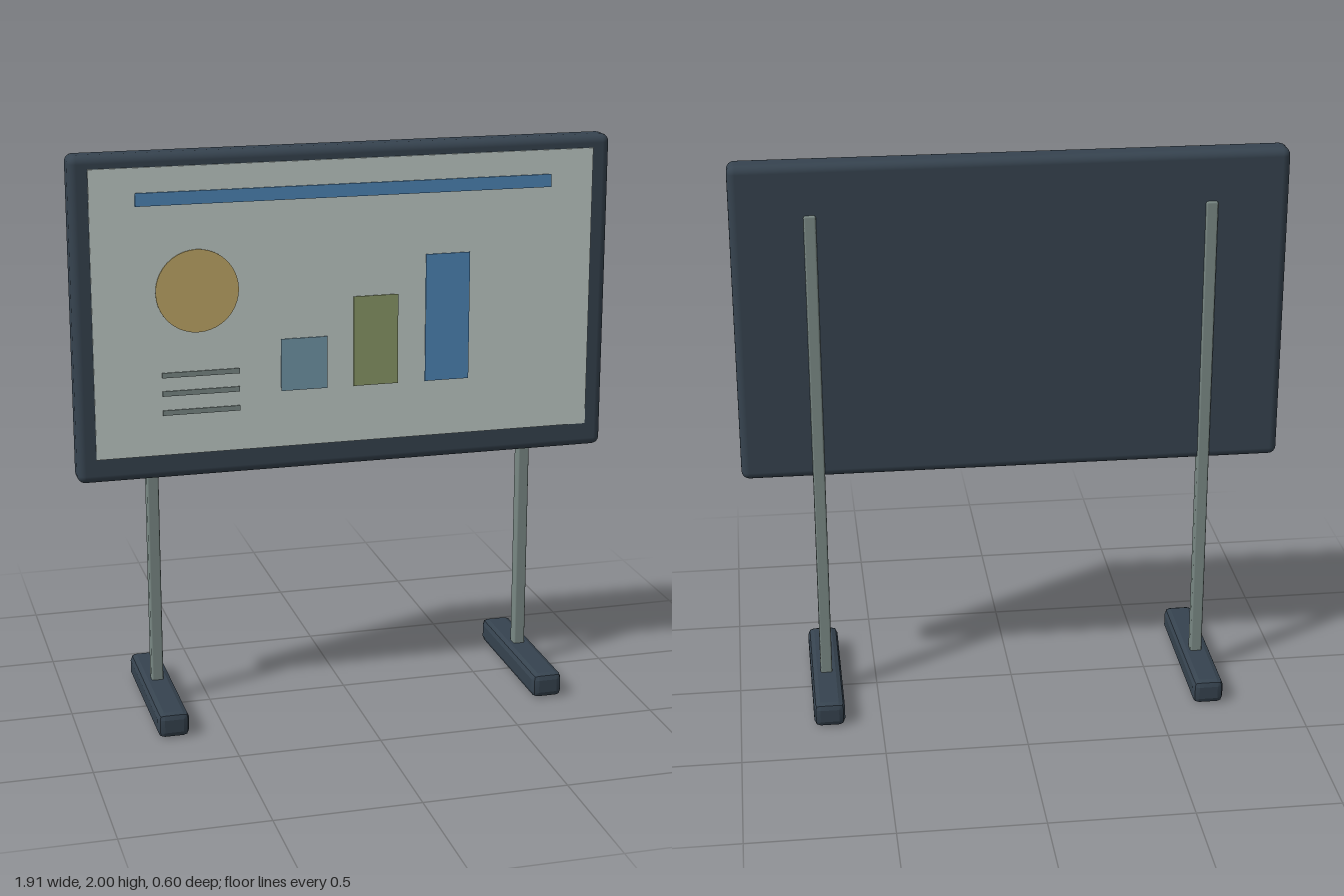
import * as THREE from 'three';
import { RoundedBoxGeometry } from 'three/addons/geometries/RoundedBoxGeometry.js';
import { toCreasedNormals } from 'three/addons/utils/BufferGeometryUtils.js';

const mat = (color) => new THREE.MeshStandardMaterial({ color });
const dark = mat(0x36434f);
const metal = mat(0x7b8a86);
const paper = mat(0xc0ccc8);
const blue = mat(0x4f87b8);
const teal = mat(0x7398aa);
const green = mat(0x8b9968);
const gold = mat(0xc2aa68);

export function createModel() {
  const group = new THREE.Group();

  const add = (name, geometry, material, x, y, z) => {
    const mesh = new THREE.Mesh(geometry, material);
    mesh.name = name;
    mesh.position.set(x, y, z);
    group.add(mesh);
    return mesh;
  };

  // Thin rectangle standing just in front of the screen
  const panel = (name, material, x0, x1, y0, y1, back, front) =>
    add(name, new THREE.BoxGeometry(x1 - x0, y1 - y0, front - back), material,
      (x0 + x1) / 2, (y0 + y1) / 2, (back + front) / 2);

  // Board body with softened edges, and its pale writing surface
  add('boardFrame', new RoundedBoxGeometry(1.91, 1.135, 0.104, 3, 0.028), dark, 0, 1.4325, 0);
  panel('boardSurface', paper, -0.89, 0.89, 0.952, 1.955, 0.04, 0.057);

  // Heading strip
  panel('headingStrip', blue, -0.735, 0.735, 1.825, 1.87, 0.056, 0.063);

  // Round chart
  const disc = new THREE.CylinderGeometry(0.144, 0.144, 0.004, 40).rotateX(Math.PI / 2);
  add('roundChart', disc, gold, -0.53, 1.527, 0.064);

  // Bar chart
  [[-0.24, -0.075, 1.34, teal], [0.02, 0.18, 1.475, green], [0.28, 0.44, 1.61, blue]]
    .forEach(([x0, x1, top, material], i) =>
      panel(`chartBar${i + 1}`, material, x0, x1, 1.155, top, 0.062, 0.066));

  // Note lines under the round chart
  [1.238, 1.173, 1.105].forEach((y, i) =>
    panel(`noteLine${i + 1}`, metal, -0.657, -0.387, y - 0.009, y + 0.009, 0.062, 0.066));

  // Posts behind the board, standing on chamfered feet
  const postShape = new RoundedBoxGeometry(0.042, 1.755, 0.046, 1, 0.007);
  const footShape = toCreasedNormals(new RoundedBoxGeometry(0.11, 0.09, 0.6, 1, 0.022), 0.3);
  for (const [side, s] of [['left', 1], ['right', -1]]) {
    add(`${side}Post`, postShape, metal, s * 0.685, 0.9475, -0.038);
    add(`${side}Foot`, footShape, dark, s * 0.685, 0.045, 0);
  }

  return group;
}
